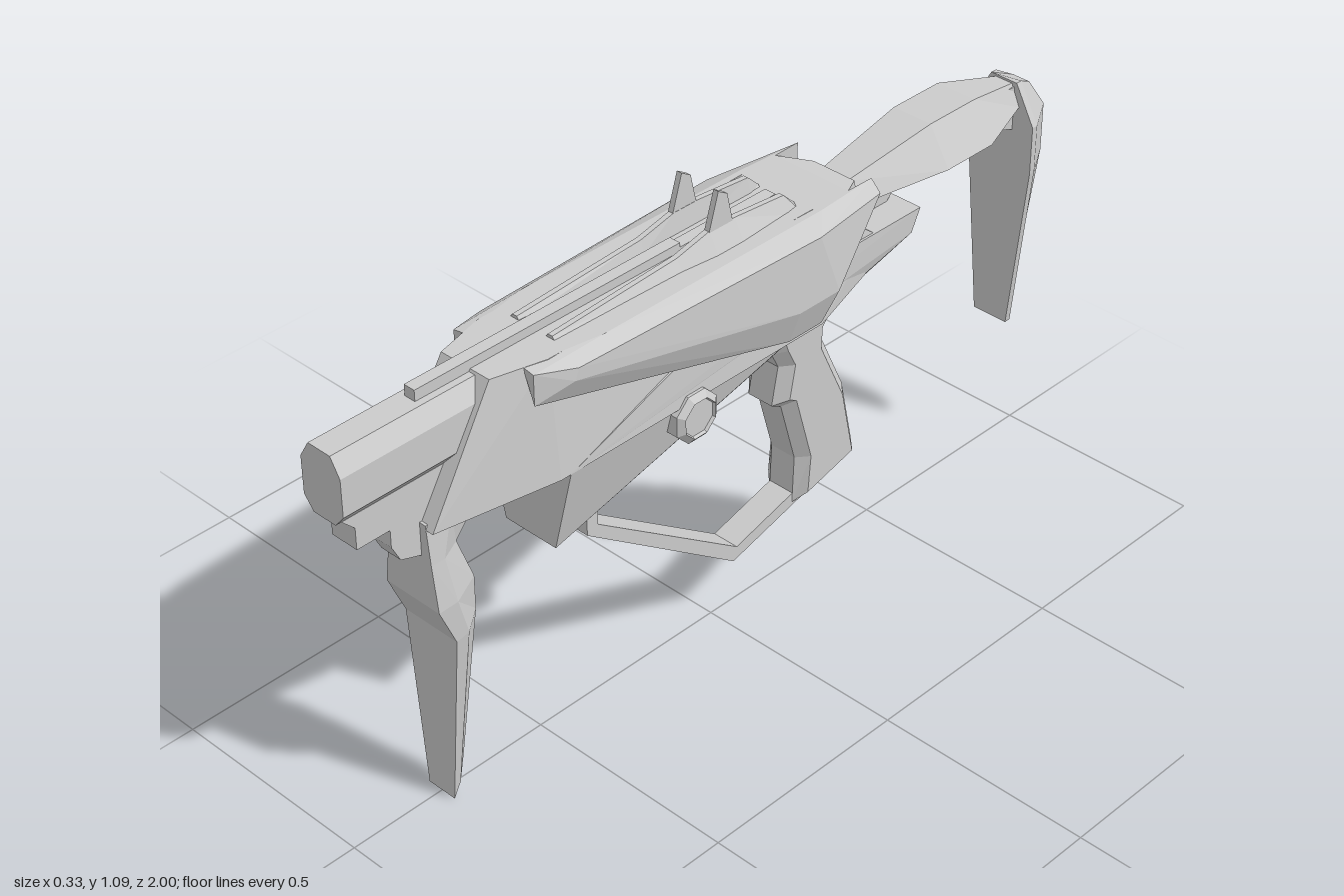
import * as THREE from 'three';
import { ConvexGeometry } from 'three/addons/geometries/ConvexGeometry.js';

const material = new THREE.MeshStandardMaterial({ color: 0xcccccc, flatShading: true, side: THREE.DoubleSide });

// Solid hull of points; mirrored = also add every point at -x
function hull(points, mirrored) {
  const v = points.map(p => new THREE.Vector3(...p));
  if (mirrored) points.forEach(([x, y, z]) => v.push(new THREE.Vector3(-x, y, z)));
  return new ConvexGeometry(v);
}

// Skin a list of equal-length closed cross-sections and cap both ends
function loft(rings) {
  const n = rings[0].length, tris = [];
  for (let r = 0; r < rings.length - 1; r++) {
    for (let i = 0; i < n; i++) {
      const j = (i + 1) % n;
      const a = rings[r][i], b = rings[r][j], c = rings[r + 1][j], d = rings[r + 1][i];
      tris.push([a, b, c], [a, c, d]);
    }
  }
  const first = rings[0], last = rings[rings.length - 1];
  for (let i = 1; i < n - 1; i++) {
    tris.push([first[0], first[i + 1], first[i]], [last[0], last[i], last[i + 1]]);
  }
  // turn the faces outward when the rings run the other way
  let volume = 0;
  tris.forEach(([a, b, c]) => {
    volume += new THREE.Vector3(...a).dot(new THREE.Vector3(...b).cross(new THREE.Vector3(...c)));
  });
  if (volume < 0) tris.forEach(t => t.reverse());
  const geometry = new THREE.BufferGeometry();
  geometry.setAttribute('position', new THREE.Float32BufferAttribute(tris.flat(2), 3));
  geometry.computeVertexNormals();
  return geometry;
}

// Side profile of [z, y] points, extruded across x and centred on it
function profile(points, width, bevel = 0) {
  const shape = new THREE.Shape(points.map(p => new THREE.Vector2(...p)));
  const depth = width - 2 * bevel;
  return new THREE.ExtrudeGeometry(shape, {
    depth, bevelEnabled: bevel > 0, bevelThickness: bevel,
    bevelSize: bevel, bevelOffset: -bevel, bevelSegments: 1,
  }).translate(0, 0, -depth / 2).rotateY(-Math.PI / 2);
}

// Upright leg section: wide flat front, narrower back
const legRing = (zf, yf, wf, zb, yb, wb) => [
  [-wf, yf, zf], [wf, yf, zf],
  [wf, yf + (yb - yf) * 0.4, zf + (zb - zf) * 0.4], [wb, yb, zb],
  [-wb, yb, zb], [-wf, yf + (yb - yf) * 0.4, zf + (zb - zf) * 0.4],
];

export function createModel() {
  const model = new THREE.Group();
  const add = (name, geometry, x = 0, y = 0, z = 0) => {
    const mesh = new THREE.Mesh(geometry, material);
    mesh.name = name;
    mesh.position.set(x, y, z);
    model.add(mesh);
  };

  // Barrel: chamfered bar
  const barrelRing = z => [
    [-0.03, 0.96, z], [0.03, 0.96, z], [0.054, 0.92, z], [0.054, 0.835, z],
    [0.03, 0.806, z], [-0.03, 0.806, z], [-0.054, 0.835, z], [-0.054, 0.92, z],
  ];
  add('barrel', loft([barrelRing(1), barrelRing(0.5)]));
  add('barrelLug', profile([[0.99, 0.81], [0.96, 0.78], [0.96, 0.73], [0.6, 0.73], [0.6, 0.81]], 0.068));
  add('legMount', profile([[0.88, 0.74], [0.88, 0.69], [0.86, 0.65], [0.8, 0.63], [0.7, 0.66], [0.7, 0.74]], 0.054), 0.007);

  // Receiver
  add('upperBody', hull([
    [0.065, 0.965, 0.65], [0.095, 0.965, 0.53], [0.095, 0.965, -0.2],
    [0.07, 0.70, 0.81], [0.12, 0.70, 0.53], [0.12, 0.70, -0.2],
    [0.11, 0.84, -0.36], [0.11, 0.75, -0.34],
  ], true));
  add('lowerBody', hull([
    [0.12, 0.70, 0.505], [0.07, 0.497, 0.505], [0.115, 0.84, 0.1],
    [0.115, 0.84, -0.5], [0.07, 0.72, -0.43], [0.115, 0.79, -0.475],
  ], true));

  // Side armour
  for (const side of [1, -1]) {
    add(side > 0 ? 'leftArmour' : 'rightArmour', hull([
      [0.08, 0.965, 0.58], [0.108, 0.96, 0.58], [0.108, 0.89, 0.58],
      [0.135, 0.92, 0.5], [0.135, 0.945, 0.49],
      [0.156, 0.945, -0.15], [0.163, 0.80, -0.085], [0.163, 0.80, -0.2],
      [0.135, 0.72, -0.085], [0.135, 0.72, -0.18],
      [0.11, 0.965, 0.4], [0.11, 0.965, -0.2],
      [0.125, 0.94, -0.36], [0.1, 0.965, -0.36], [0.1, 0.89, -0.36],
    ].map(([x, y, z]) => [x * side, y, z])));
  }

  // Top rails and sight fins
  add('topRail', profile([[0.785, 0.95], [0.785, 0.985], [0.1, 0.985], [0.1, 0.975], [-0.17, 0.975], [-0.17, 0.95]], 0.028));
  const railRing = (z, y, inner, outer) => [
    [inner, 0.96, z], [inner + 0.008, y, z], [inner + 0.02, y, z], [outer, 0.96, z],
  ];
  for (const side of [1, -1]) {
    const rings = [
      railRing(0.48, 0.972, 0.034, 0.063), railRing(0.15, 0.99, 0.034, 0.07),
      railRing(0.06, 1.01, 0.034, 0.08), railRing(-0.01, 1.01, 0.034, 0.08),
      railRing(-0.15, 0.998, 0.034, 0.07), railRing(-0.18, 0.97, 0.034, 0.065),
    ].map(ring => ring.map(([x, y, z]) => [x * side, y, z]));
    const label = side > 0 ? 'left' : 'right';
    add(label + 'Rail', loft(rings));
    add(label + 'SightFin', profile([[0.065, 1.0], [0.037, 1.09], [0.012, 1.075], [-0.005, 1.0]], 0.013), 0.049 * side);
  }

  // Shoulder stock: bridge, arm and butt
  add('stockBridge', hull([
    [0.1, 0.965, -0.19], [0.1, 0.965, -0.29], [0.055, 0.94, -0.36],
    [0.1, 0.86, -0.19], [0.1, 0.86, -0.31], [0.055, 0.86, -0.38],
  ], true));
  add('stockLowerBlock', profile([[-0.3, 0.82], [-0.3, 0.89], [-0.49, 0.89], [-0.48, 0.85], [-0.45, 0.82]], 0.1));
  const armRing = (z, yTop, top, bottom) => [
    [-top, yTop, z], [top, yTop, z], [bottom, 0.88, z], [-bottom, 0.88, z],
  ];
  add('stockArm', loft([
    armRing(-0.29, 0.925, 0.03, 0.045), armRing(-0.36, 0.93, 0.035, 0.06),
    armRing(-0.6, 0.968, 0.05, 0.103), armRing(-0.74, 0.968, 0.05, 0.103),
    armRing(-0.9, 0.93, 0.022, 0.045),
  ]));
  add('stockHinge', profile([[-0.82, 0.9], [-0.86, 0.835], [-0.9, 0.82], [-0.93, 0.82], [-0.93, 0.92], [-0.84, 0.93]], 0.06));
  const buttRing = (yf, wf, zb, yb, wb) => [
    [-wf, yf, -0.9], [wf, yf, -0.9], [wf, yf, -0.915], [wb, yb, zb], [-wb, yb, zb], [-wf, yf, -0.915],
  ];
  add('stockButt', loft([
    buttRing(0.935, 0.035, -0.96, 0.91, 0.022), buttRing(0.845, 0.085, -1, 0.845, 0.034),
    buttRing(0.73, 0.085, -1, 0.73, 0.034), buttRing(0.33, 0.045, -0.94, 0.358, 0.022),
  ]));

  // Forward leg
  add('foreLeg', loft([
    legRing(0.81, 0.71, 0.05, 0.65, 0.71, 0.035), legRing(0.81, 0.62, 0.06, 0.725, 0.62, 0.035),
    legRing(0.81, 0.515, 0.074, 0.69, 0.52, 0.04), legRing(0.77, 0.422, 0.073, 0.69, 0.44, 0.04),
    legRing(0.77, 0, 0.037, 0.725, 0.085, 0.02),
  ]));

  // Grip and trigger guard
  add('grip', profile([
    [-0.12, 0.70], [-0.145, 0.61], [-0.165, 0.57], [-0.147, 0.48], [-0.175, 0.465], [-0.22, 0.31],
    [-0.215, 0.195], [-0.405, 0.24], [-0.4, 0.27], [-0.365, 0.43], [-0.295, 0.58], [-0.297, 0.62], [-0.345, 0.70],
  ], 0.115, 0.025));
  add('triggerGuard', profile([
    [0.385, 0.54], [0.385, 0.44], [-0.035, 0.137], [-0.3, 0.21], [-0.3, 0.24], [-0.24, 0.225],
    [-0.045, 0.17], [0.355, 0.452], [0.355, 0.55],
  ], 0.065));

  // Octagonal side knob with a sunken face
  const knob = [[0, 0], [0.055, 0], [0.06, 0.005], [0.06, 0.045], [0.045, 0.057], [0.042, 0.05], [0, 0.05]]
    .map(p => new THREE.Vector2(...p));
  add('sideKnob', new THREE.LatheGeometry(knob, 8, Math.PI / 8).rotateZ(-Math.PI / 2), 0.08, 0.665, 0.17);

  return model;
}
